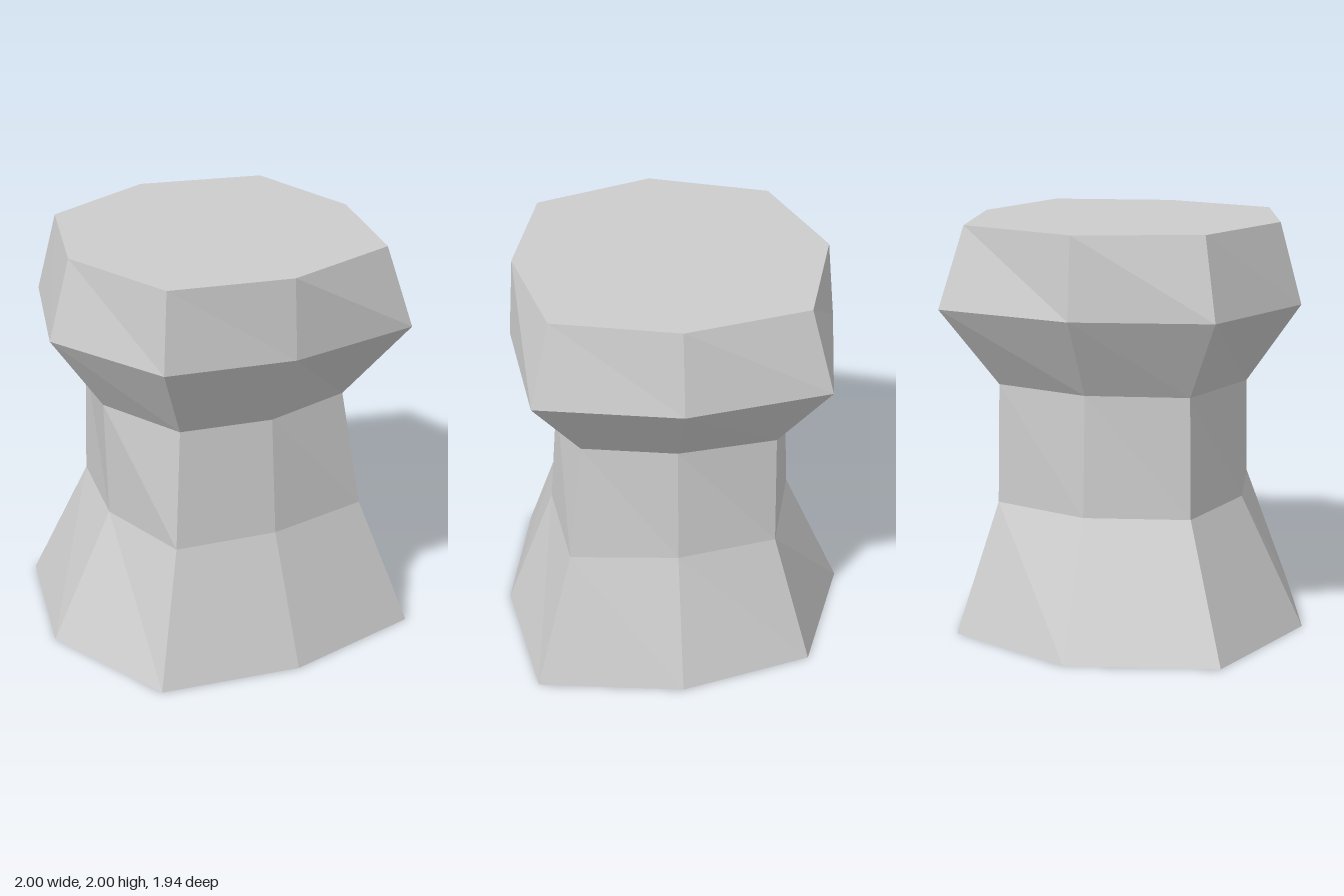
import * as THREE from 'three';

// Each ring: height, then offsets along +x, +x+z, +z, -x+z, -x, -x-z, -z, +x-z
// (diagonal values are the offset on both axes)
const RINGS = [
  [0.00, 1.00, 0.58, 0.96, 0.652, 1.00, 0.64, 0.92, 0.58],
  [0.64, 0.737, 0.411, 0.70, 0.427, 0.694, 0.44, 0.69, 0.413],
  [1.225, 0.636, 0.38, 0.625, 0.438, 0.678, 0.42, 0.677, 0.382],
  [1.61, 0.96, 0.528, 0.86, 0.625, 0.913, 0.577, 0.98, 0.58],
  [2.00, 0.828, 0.51, 0.808, 0.548, 0.812, 0.55, 0.845, 0.52],
];
const DIRS = [[1, 0], [1, 1], [0, 1], [-1, 1], [-1, 0], [-1, -1], [0, -1], [1, -1]];
const Z_AXIS = 0.01;

const ringPoints = ([y, ...r]) =>
  DIRS.map(([dx, dz], i) => [dx * r[i], y, Z_AXIS + dz * r[i]]);

function facetMesh(name, triangles, material) {
  const geometry = new THREE.BufferGeometry();
  geometry.setAttribute('position', new THREE.Float32BufferAttribute(triangles.flat(2), 3));
  geometry.computeVertexNormals();
  const mesh = new THREE.Mesh(geometry, material);
  mesh.name = name;
  return mesh;
}

// Side faces between two neighbouring rings
function band(lower, upper) {
  const tris = [];
  for (let i = 0; i < 8; i++) {
    const j = (i + 1) % 8;
    tris.push([lower[j], lower[i], upper[j]], [lower[i], upper[i], upper[j]]);
  }
  return tris;
}

// Flat end face
function cap(ring, up) {
  const tris = [];
  for (let i = 1; i < 7; i++) {
    tris.push(up ? [ring[0], ring[i + 1], ring[i]] : [ring[0], ring[i], ring[i + 1]]);
  }
  return tris;
}

export function createModel() {
  const group = new THREE.Group();
  group.name = 'stonePost';
  const stone = new THREE.MeshStandardMaterial({ color: 0xcccccc, flatShading: true });
  stone.name = 'grey stone';

  const rings = RINGS.map(ringPoints);

  // Flared foot, narrow neck, widening collar and tapered head
  ['foot', 'neck', 'collar', 'head'].forEach((name, k) => {
    group.add(facetMesh(name, band(rings[k], rings[k + 1]), stone));
  });
  group.add(facetMesh('topFace', cap(rings[4], true), stone));
  group.add(facetMesh('underside', cap(rings[0], false), stone));
  return group;
}
